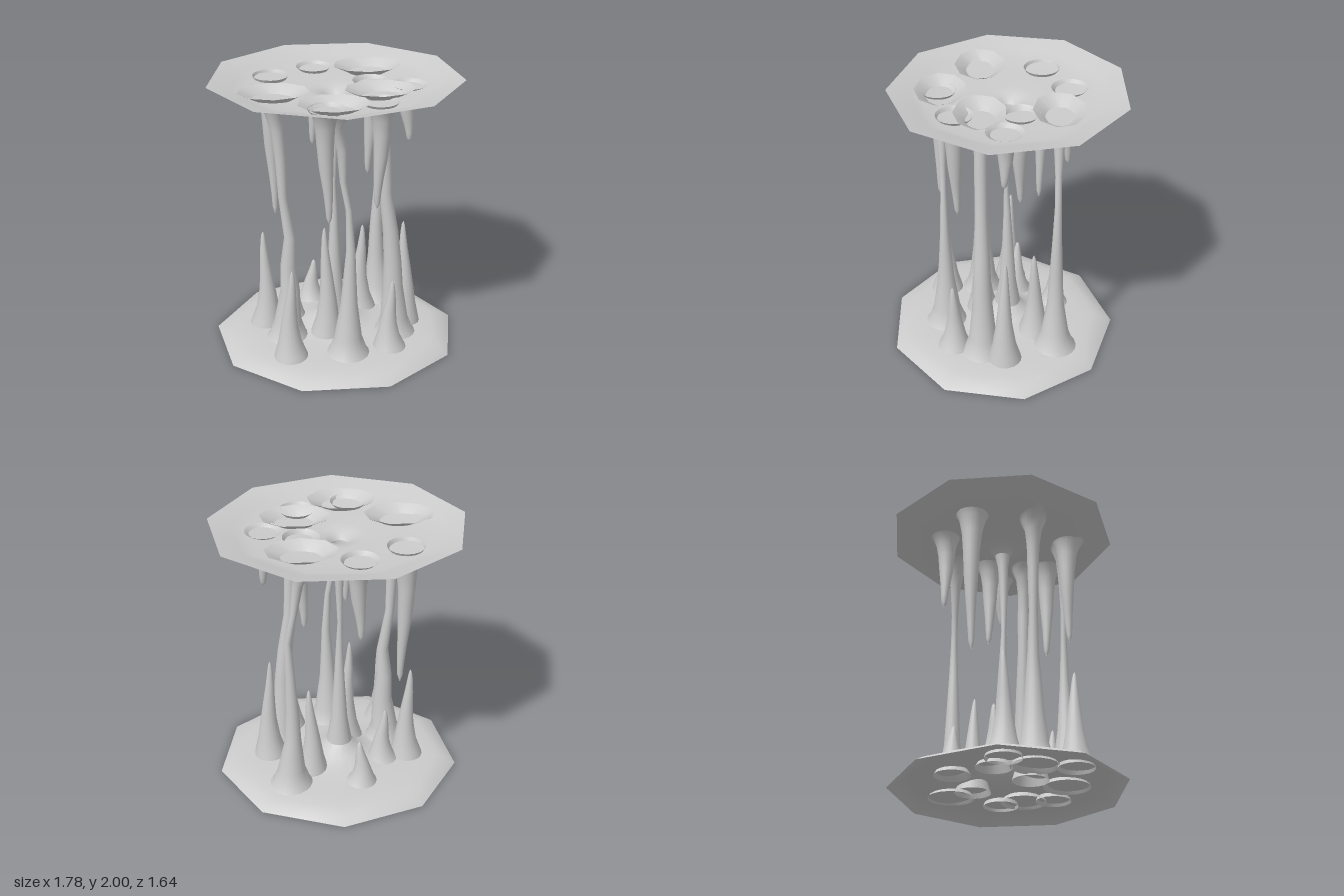
import * as THREE from 'three';

const SIDES = 18;
const material = new THREE.MeshStandardMaterial({ color: 0xcccccc, side: THREE.DoubleSide });

// Open tube through rings [x, y, z, radius, squash in z, facet].
// facet 1 flattens the ring to a nine-sided outline; turn sets where a corner points.
function loft(name, rings, turn = 0) {
  const pos = [], index = [];
  rings.forEach(([x, y, z, r, squash = 1, facet = 0]) => {
    for (let i = 0; i < SIDES; i++) {
      const a = (i / SIDES) * Math.PI * 2 + turn;
      const rr = i % 2 ? r * (1 - facet * (1 - Math.cos(Math.PI / 9))) : r;
      pos.push(x + Math.sin(a) * rr, y, z + Math.cos(a) * rr * squash);
    }
  });
  for (let j = 0; j < rings.length - 1; j++) {
    for (let i = 0; i < SIDES; i++) {
      const k = (i + 1) % SIDES;
      const a = j * SIDES + i, b = j * SIDES + k;
      index.push(a, b, b + SIDES, a, b + SIDES, a + SIDES);
    }
  }
  const geometry = new THREE.BufferGeometry();
  geometry.setAttribute('position', new THREE.Float32BufferAttribute(pos, 3));
  geometry.setIndex(index);
  geometry.computeVertexNormals();
  const mesh = new THREE.Mesh(geometry, material);
  mesh.name = name;
  return mesh;
}

// Spike profile: [fraction of length, radius]
const dripProfile = [[0, 0.13], [0.05, 0.098], [0.16, 0.073], [0.3, 0.06], [0.5, 0.05],
  [0.72, 0.034], [0.85, 0.026], [0.95, 0.02], [1, 0.004]];
const moundProfile = [[0, 0.13], [0.08, 0.112], [0.2, 0.085], [0.4, 0.06], [0.58, 0.045],
  [0.75, 0.032], [0.9, 0.02], [0.97, 0.012], [1, 0.003]];

function spike(name, profile, x, z, base, tip, lean) {
  return loft(name, profile.map(([t, r]) => [
    x + lean * Math.sin(t * 5) * 0.012, base + (tip - base) * t, z + lean * Math.sin(t * 4) * 0.006, r,
  ]));
}

// Full column: flared faceted bowl at the top, round foot, shaft through [y, x, radius]
function column(name, z, top, shaft, foot) {
  return loft(name, [
    [foot, 0.05, z, 0.17],
    [foot, 0.1, z, 0.135],
    [foot, 0.2, z, 0.1],
    ...shaft.map(([y, x, r]) => [x, y, z, r]),
    [top, 1.82, z, 0.06],
    [top, 1.89, z, 0.095, 0.9],
    [top, 1.93, z, 0.145, 0.7, 0.5],
    [top, 1.98, z, 0.25, 0.73, 1],
  ]);
}

export function createModel() {
  const group = new THREE.Group();

  // Floor, thin central pillar and ceiling
  const floor = loft('floor', [
    [0, 0, 0.025, 0.905, 0.93, 1],
    [0, 0.035, 0.025, 0.84, 0.93, 0.8],
    [0, 0.06, 0.022, 0.75, 0.93, 0.5],
    [0, 0.07, 0.015, 0.6, 0.95, 0.2],
    [0, 0.075, 0, 0.42],
    [0, 0.09, -0.01, 0.28],
    [-0.01, 0.125, -0.02, 0.16],
    [-0.01, 0.2, -0.02, 0.095],
  ], Math.PI);
  const pillar = loft('centralPillar', [
    [-0.01, 0.2, -0.02, 0.095],
    [-0.01, 0.4, -0.02, 0.062],
    [-0.01, 0.7, -0.02, 0.042],
    [-0.01, 1.0, -0.015, 0.026],
    [-0.015, 1.22, -0.01, 0.018],
    [-0.01, 1.5, -0.01, 0.028],
    [-0.01, 1.75, -0.015, 0.038],
    [-0.01, 1.85, -0.02, 0.055],
  ], Math.PI);
  const ceiling = loft('ceiling', [
    [-0.01, 1.85, -0.02, 0.055],
    [-0.01, 1.9, -0.025, 0.095],
    [0, 1.918, -0.02, 0.2],
    [0, 1.925, -0.015, 0.4],
    [0, 1.932, -0.025, 0.64, 0.93, 0.6],
    [0, 1.962, -0.03, 0.74, 0.93, 0.9],
    [0, 2, -0.03, 0.905, 0.93, 1],
  ]);
  group.add(floor, pillar, ceiling);

  // Four outer columns
  group.add(
    column('rightColumn', 0.17, -0.44,
      [[0.45, -0.35, 0.072], [0.65, -0.36, 0.058], [0.88, -0.345, 0.042], [1.2, -0.39, 0.032],
        [1.5, -0.4, 0.04], [1.7, -0.42, 0.046]], -0.37),
    column('leftColumn', 0.17, 0.29,
      [[0.45, 0.405, 0.075], [0.65, 0.4, 0.065], [0.9, 0.38, 0.056], [1.2, 0.34, 0.045],
        [1.5, 0.33, 0.045], [1.7, 0.31, 0.045]], 0.42),
    column('backColumn', -0.36, 0.26,
      [[0.45, 0.345, 0.06], [0.7, 0.345, 0.048], [1.0, 0.355, 0.034], [1.28, 0.365, 0.024],
        [1.5, 0.32, 0.024], [1.72, 0.29, 0.038]], 0.36),
    column('frontColumn', 0.44, -0.05,
      [[0.48, 0.055, 0.06], [0.7, 0.06, 0.045], [0.9, 0.065, 0.032], [1.2, 0.05, 0.022],
        [1.42, 0.01, 0.024], [1.65, 0.0, 0.036]], 0.05),
  );

  // Hanging spikes: x, z, tip height
  [[-0.1, 0.46, 1.12], [0.27, 0.34, 1.16], [0.51, 0.01, 1.53],
    [0.255, -0.1, 1.24], [-0.44, -0.27, 0.87], [-0.12, -0.45, 1.34],
  ].forEach(([x, z, tip], i) => group.add(
    spike(`stalactite${i + 1}`, dripProfile, x, z, 1.95, tip, i % 2 ? 1 : -1)));

  // Standing spikes: x, z, tip height
  [[0.36, 0.38, 0.6], [0.51, 0.01, 0.89], [0.21, -0.21, 0.77], [-0.52, -0.05, 0.82],
    [-0.36, 0.45, 0.75], [-0.085, 0.17, 0.94], [-0.15, -0.37, 0.41], [-0.335, -0.1, 0.5],
  ].forEach(([x, z, tip], i) => group.add(
    spike(`stalagmite${i + 1}`, moundProfile, x, z, 0.045, tip, i % 2 ? 1 : -1)));

  return group;
}
